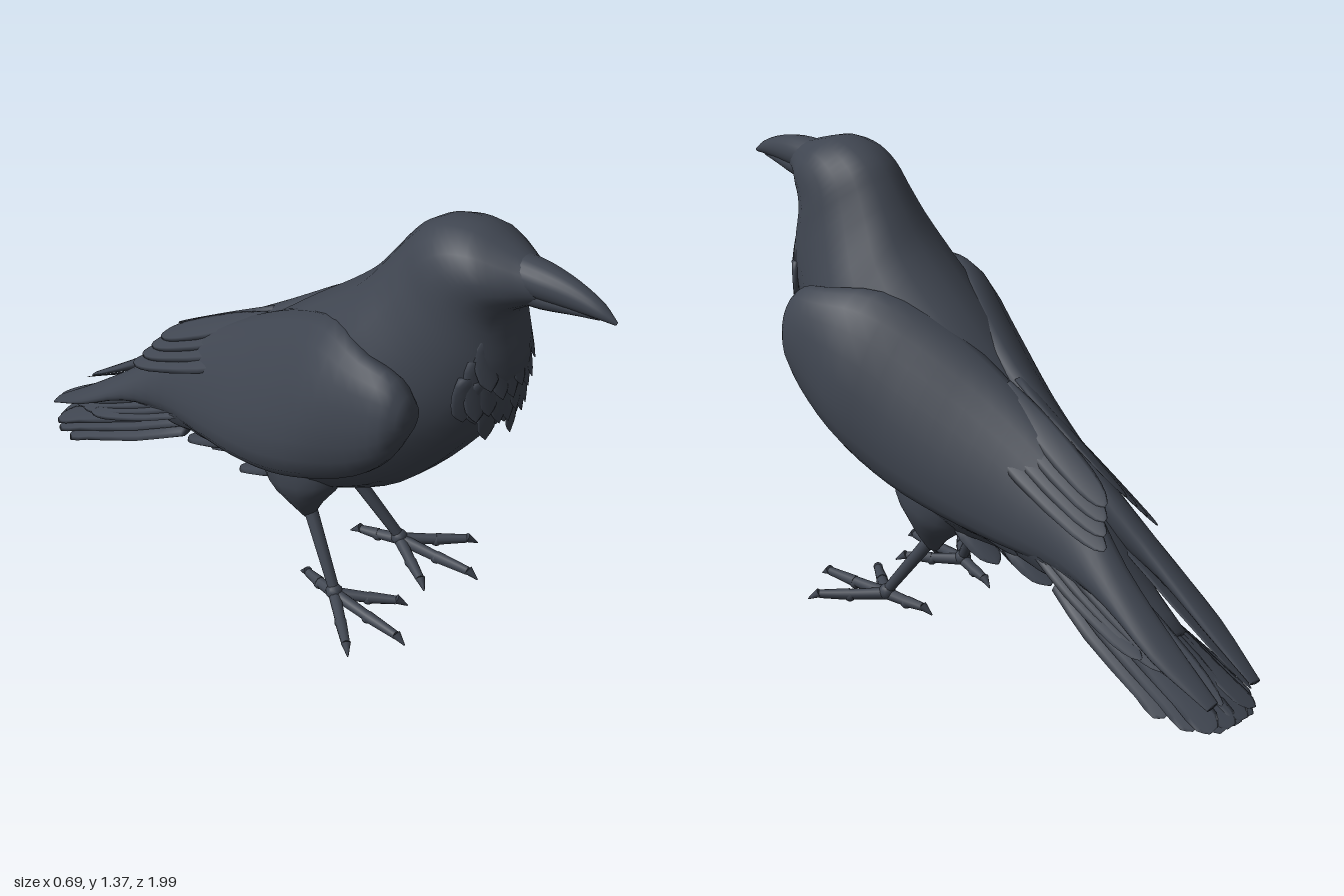
import * as THREE from 'three';

const V = (x, y, z) => new THREE.Vector3(x, y, z);
const plumage = new THREE.MeshStandardMaterial({ color: 0x3f4550 });
plumage.name = 'slate black plumage';

// Skin closed rings: each spans top to bottom and swells by a bulge vector.
function loft(tops, bottoms, bulges, sides = 20, steps = 3) {
  const curves = [tops, bottoms, bulges].map((p) => new THREE.CatmullRomCurve3(p));
  const rows = (tops.length - 1) * steps;
  const rings = [];
  for (let i = 0; i <= rows; i++) {
    const [top, bottom, bulge] = curves.map((c) => c.getPoint(i / rows));
    const mid = top.clone().add(bottom).multiplyScalar(0.5);
    rings.push({ mid, a: top.sub(mid), b: bulge });
  }
  // Keep the faces turned outward whichever way the rings run
  const m = rings[rows >> 1];
  const run = rings[rows].mid.clone().sub(rings[0].mid);
  const sign = m.a.clone().cross(m.b).dot(run) > 0 ? -1 : 1;
  const pos = [], index = [];
  for (const r of rings) {
    for (let j = 0; j < sides; j++) {
      const t = (j / sides) * Math.PI * 2;
      const p = r.mid.clone().addScaledVector(r.a, Math.cos(t)).addScaledVector(r.b, sign * Math.sin(t));
      pos.push(p.x, p.y, p.z);
    }
  }
  const first = rings[0].mid, last = rings[rows].mid;
  pos.push(first.x, first.y, first.z, last.x, last.y, last.z);
  const c0 = (rows + 1) * sides, c1 = c0 + 1;
  for (let j = 0; j < sides; j++) {
    const k = (j + 1) % sides;
    for (let i = 0; i < rows; i++) {
      const a = i * sides + j, b = a + sides, c = i * sides + k, d = c + sides;
      index.push(a, b, c, b, d, c);
    }
    index.push(c0, j, k, c1, rows * sides + k, rows * sides + j);
  }
  const g = new THREE.BufferGeometry();
  g.setAttribute('position', new THREE.Float32BufferAttribute(pos, 3));
  g.setIndex(index);
  g.computeVertexNormals();
  return g;
}

// Rows of [top z, top y, bottom z, bottom y, half width] on the centre line
const centreLoft = (rows) => loft(
  rows.map((r) => V(0, r[1], r[0])),
  rows.map((r) => V(0, r[3], r[2])),
  rows.map((r) => V(r[4], 0, 0)));

// A thin pointed blade from base to tip, spread along the across vector
function feather(base, tip, across, thick = 0.008, blunt = 0.3) {
  const normal = across.clone().cross(tip.clone().sub(base)).normalize();
  const profile = [[0, 0.6], [0.35, 1], [0.8, 0.9], [0.95, 0.3 + blunt], [1, blunt * 0.6 + 0.02]];
  const at = (k) => profile.map(([t, w]) => base.clone().lerp(tip, t).addScaledVector(across, k * w));
  return loft(at(1), at(-1), profile.map(([t]) => normal.clone().multiplyScalar(thick * (1.1 - t))), 8, 2);
}

// A tapered round segment between two points
function limb(a, b, ra, rb) {
  const d = b.clone().sub(a);
  const g = new THREE.CylinderGeometry(rb, ra, d.length(), 10);
  g.applyQuaternion(new THREE.Quaternion().setFromUnitVectors(V(0, 1, 0), d.clone().normalize()));
  const c = a.clone().add(b).multiplyScalar(0.5);
  return g.translate(c.x, c.y, c.z);
}

export function createModel() {
  const model = new THREE.Group();
  model.name = 'bird';
  const group = (name) => {
    const g = new THREE.Group();
    g.name = name;
    model.add(g);
    return g;
  };
  const add = (parent, name, geometry) => {
    const mesh = new THREE.Mesh(geometry, plumage);
    mesh.name = name;
    parent.add(mesh);
  };

  // Body, neck and head
  add(model, 'bodyAndHead', centreLoft([
    [-0.74, 0.225, -0.72, 0.18, 0.08], [-0.6, 0.34, -0.56, 0.23, 0.1], [-0.46, 0.5, -0.38, 0.285, 0.13],
    [-0.3, 0.64, -0.15, 0.295, 0.18], [-0.1, 0.81, 0.05, 0.285, 0.22],
    [0.05, 0.94, 0.25, 0.37, 0.25], [0.18, 1.045, 0.42, 0.48, 0.26],
    [0.26, 1.12, 0.58, 0.66, 0.24], [0.32, 1.2, 0.695, 0.84, 0.195],
    [0.37, 1.27, 0.735, 0.99, 0.165], [0.42, 1.325, 0.715, 1.1, 0.15],
    [0.49, 1.363, 0.71, 1.15, 0.14], [0.58, 1.375, 0.72, 1.18, 0.124],
    [0.66, 1.355, 0.74, 1.195, 0.094], [0.72, 1.335, 0.765, 1.21, 0.066], [0.78, 1.315, 0.8, 1.225, 0.04]]));

  // Beak in two halves, the upper one hooked over the lower
  const beak = group('beak');
  add(beak, 'upperBeak', centreLoft([
    [0.66, 1.335, 0.7, 1.23, 0.06], [0.78, 1.333, 0.78, 1.232, 0.052],
    [0.87, 1.317, 0.87, 1.238, 0.037], [0.95, 1.286, 0.95, 1.242, 0.022],
    [1.0, 1.25, 0.995, 1.24, 0.004]]));
  add(beak, 'lowerBeak', centreLoft([
    [0.68, 1.28, 0.7, 1.2, 0.05], [0.79, 1.28, 0.79, 1.207, 0.043],
    [0.88, 1.27, 0.88, 1.226, 0.028], [0.95, 1.256, 0.95, 1.237, 0.01]]));

  // Shaggy throat feathers in overlapping rows
  const throat = group('throatFeathers');
  for (let row = 0; row < 3; row++) {
    const n = 3 + row;
    for (let i = -n; i <= n; i++) {
      const x = (i / n) * (0.1 + 0.02 * row);
      const y = 1.08 - row * 0.06 + 2 * x * x, z = 0.695 + row * 0.008 - 3 * x * x;
      const len = 0.14 + 0.025 * ((i * i + row) % 3);
      add(throat, 'throatFeather', feather(V(x, y, z), V(x * 1.02, y - len, z + 0.045 - row * 0.022),
        V(0.026, 0, -0.15 * x), 0.012, 0));
    }
  }

  // Ragged feathers lying back under the belly
  const belly = group('bellyFeathers');
  for (let i = 0; i < 6; i++) {
    for (const s of [-1, 1]) {
      const z = 0.06 - i * 0.07, x = s * (0.035 + 0.03 * (i % 3));
      add(belly, 'bellyFeather', feather(V(x, 0.345, z + 0.08), V(x, 0.268 + 0.012 * (i % 2), z - 0.09),
        V(0.045, 0, 0), 0.025, 0.1));
    }
  }

  // Fanned tail, drooping and shorter towards the edges
  const tail = group('tail');
  for (let i = -5; i <= 5; i++) {
    const u = i / 5, e = u ** 4;
    add(tail, 'tailFeather', feather(
      V(0.085 * u, 0.37 - 0.08 * u * u, -0.4),
      V(0.135 * u, 0.06 + 0.03 * e + 0.003 * (i & 1), -0.99 + 0.13 * e),
      V(0.046, -0.02 * u, 0), 0.014, 0.6));
  }

  for (const s of [1, -1]) {
    const side = s > 0 ? 'left' : 'right';
    const P = (x, y, z) => V(s * x, y, z);

    // Folded wing: [top x, y, z, bottom x, y, z, bulge]
    const wing = group(side + 'Wing');
    const rows = [
      [0.235, 0.92, 0.555, 0.24, 0.83, 0.555, 0.035], [0.235, 0.98, 0.5, 0.26, 0.735, 0.51, 0.07],
      [0.23, 1.005, 0.39, 0.265, 0.635, 0.41, 0.085], [0.165, 1.015, 0.24, 0.265, 0.55, 0.25, 0.12],
      [0.085, 0.93, 0.06, 0.24, 0.48, 0.1, 0.125], [0.04, 0.83, -0.1, 0.21, 0.43, -0.08, 0.105],
      [0.03, 0.71, -0.28, 0.165, 0.39, -0.25, 0.075], [0.04, 0.58, -0.45, 0.12, 0.36, -0.45, 0.055],
      [0.07, 0.42, -0.62, 0.12, 0.32, -0.62, 0.045], [0.08, 0.275, -0.8, 0.125, 0.225, -0.8, 0.04],
      [0.08, 0.15, -0.97, 0.1, 0.135, -0.97, 0.02]];
    add(wing, 'wingShell', loft(
      rows.map((r) => P(r[0], r[1], r[2])),
      rows.map((r) => P(r[3], r[4], r[5])),
      rows.map((r) => P(r[6], 0, 0))));

    // Long flight feathers reaching over the tail
    for (let i = 0; i < 5; i++) {
      add(wing, 'flightFeather', feather(
        P(0.07 + 0.016 * i, 0.48 - 0.02 * i, -0.36),
        P(0.06 + 0.02 * i, 0.14 + 0.02 * i, -0.98 + 0.055 * i),
        P(0.034, -0.016, 0), 0.01, 0.2));
    }
    // Short feathers layered over the back
    for (let i = 0; i < 4; i++) {
      add(wing, 'backFeather', feather(
        P(0.03 + 0.03 * i, 0.79 - 0.035 * i, -0.13),
        P(0.04 + 0.022 * i, 0.565 - 0.03 * i, -0.53 - 0.02 * i),
        P(0.036, -0.024, 0), 0.014, 0.25));
    }
    // Lower edge feathers along the flank
    for (let i = 0; i < 4; i++) {
      add(wing, 'edgeFeather', feather(
        P(0.245 - 0.03 * i, 0.53 - 0.035 * i, 0.16 - 0.14 * i),
        P(0.18 - 0.02 * i, 0.4 - 0.025 * i, -0.18 - 0.13 * i),
        P(0.012, 0.035, 0), 0.012, 0.15));
    }

    // Feathered thigh, bare shank and four clawed toes
    const leg = group(side + 'Leg');
    const knee = P(0.1, 0.26, 0.1), ankle = P(0.16, 0.045, 0.245);
    add(leg, 'thigh', loft(
      [P(0.09, 0.6, 0.25), P(0.11, 0.42, 0.23), P(0.108, 0.3, 0.155), P(0.102, 0.23, 0.118)],
      [P(0.09, 0.5, -0.12), P(0.11, 0.34, -0.04), P(0.102, 0.26, 0.05), P(0.1, 0.22, 0.082)],
      [P(0.09, 0, 0), P(0.085, 0, 0), P(0.05, 0, 0), P(0.018, 0, 0)], 14));
    add(leg, 'shank', limb(knee, ankle, 0.022, 0.017));
    add(leg, 'ankle', new THREE.SphereGeometry(0.026, 12, 8).translate(ankle.x, 0.04, ankle.z));
    for (const [x, z] of [[0.3, 0.4], [0.18, 0.49], [0.06, 0.4], [0.13, 0.12]]) {
      const tip = P(x, 0.024, z);
      const joint = ankle.clone().lerp(tip, 0.55).setY(0.026);
      const out = tip.clone().sub(ankle).setY(0).normalize();
      add(leg, 'toe', limb(ankle.clone().setY(0.033), joint, 0.019, 0.016));
      add(leg, 'toe', limb(joint, tip, 0.018, 0.013));
      add(leg, 'toePad', new THREE.SphereGeometry(0.019, 10, 6).translate(joint.x, 0.022, joint.z));
      add(leg, 'claw', limb(tip.clone().setY(0.028), tip.clone().addScaledVector(out, 0.035).setY(0.006), 0.015, 0.002));
    }
  }
  return model;
}
